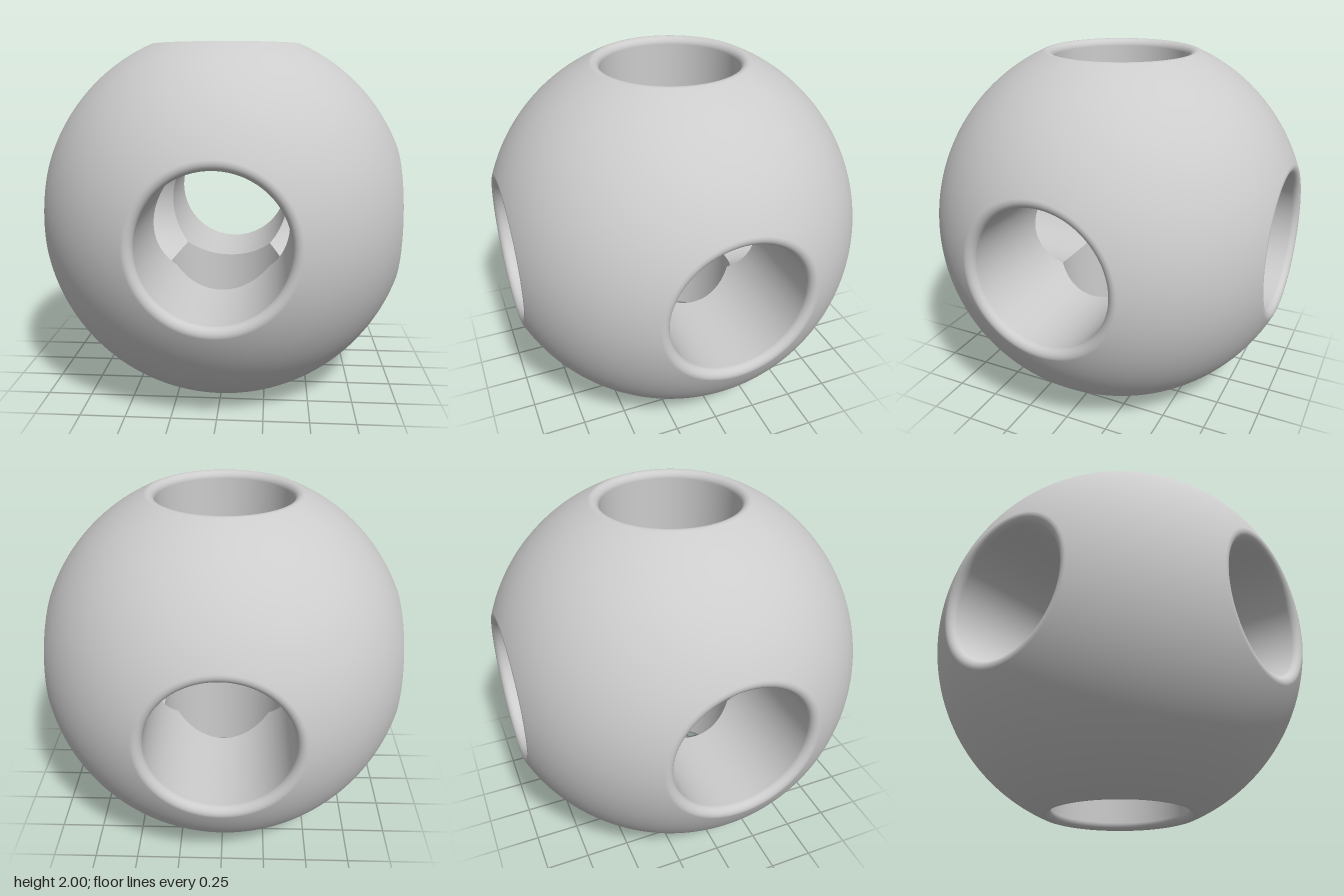
import * as THREE from 'three';

const R = 1.09;      // ball radius
const BORE = 0.385;  // bore radius
const F = 0.0403;    // rounding of the bore rims
const SEG = 128;     // steps around a bore (multiple of 8)

// One sixth of the ball, facing +z: bore wall, rounded rim and the surrounding
// spherical patch out to the square border shared with its neighbours.
function createSide() {
  const pos = [], nor = [], idx = [];
  const rc = BORE + F, zc = Math.sqrt((R - F) ** 2 - rc ** 2); // rim arc centre
  const phi0 = Math.atan2(rc, zc);                             // rim meets ball
  const rimSteps = 8, ballSteps = 16, wallSteps = 4;
  let rows = 0;

  for (let i = 0; i <= SEG; i++) {
    const a = (i / SEG) * Math.PI * 2, c = Math.cos(a), s = Math.sin(a);
    const m = Math.max(Math.abs(c), Math.abs(s));
    const add = (r, z, nr, nz) => {
      pos.push(r * c, r * s, z);
      nor.push(nr * c, nr * s, nz);
    };
    // bore wall, starting on the curve where the bores cross
    for (let j = 0; j < wallSteps; j++) {
      add(BORE, THREE.MathUtils.lerp(BORE * m, zc, j / wallSteps), -1, 0);
    }
    // rounded rim
    for (let j = 0; j <= rimSteps; j++) {
      const t = THREE.MathUtils.lerp(-Math.PI / 2, phi0, j / rimSteps);
      add(rc + F * Math.sin(t), zc + F * Math.cos(t), Math.sin(t), Math.cos(t));
    }
    // ball surface out to the square border
    const phi1 = Math.atan(1 / m);
    for (let j = 1; j <= ballSteps; j++) {
      const t = THREE.MathUtils.lerp(phi0, phi1, j / ballSteps);
      add(R * Math.sin(t), R * Math.cos(t), Math.sin(t), Math.cos(t));
    }
    if (i === 0) rows = pos.length / 3;
  }
  for (let i = 0; i < SEG; i++) {
    for (let j = 0; j < rows - 1; j++) {
      const p = i * rows + j, q = p + rows;
      idx.push(p, p + 1, q, q, p + 1, q + 1);
    }
  }
  const g = new THREE.BufferGeometry();
  g.setAttribute('position', new THREE.Float32BufferAttribute(pos, 3));
  g.setAttribute('normal', new THREE.Float32BufferAttribute(nor, 3));
  g.setIndex(idx);
  return g;
}

export function createModel() {
  const model = new THREE.Group();
  model.name = 'drilledBall';
  const grey = new THREE.MeshStandardMaterial({ color: 0xcccccc });
  grey.name = 'light grey';

  // the same side turned to face all six directions
  const side = createSide(), q = Math.PI / 2;
  const turns = {
    front: [0, 0], left: [0, q], back: [0, 2 * q], right: [0, -q], top: [-q, 0], bottom: [q, 0],
  };
  for (const [name, [rx, ry]] of Object.entries(turns)) {
    const mesh = new THREE.Mesh(side, grey);
    mesh.name = name + 'Side';
    mesh.rotation.set(rx, ry, 0);
    mesh.position.y = 1;
    model.add(mesh);
  }
  return model;
}
